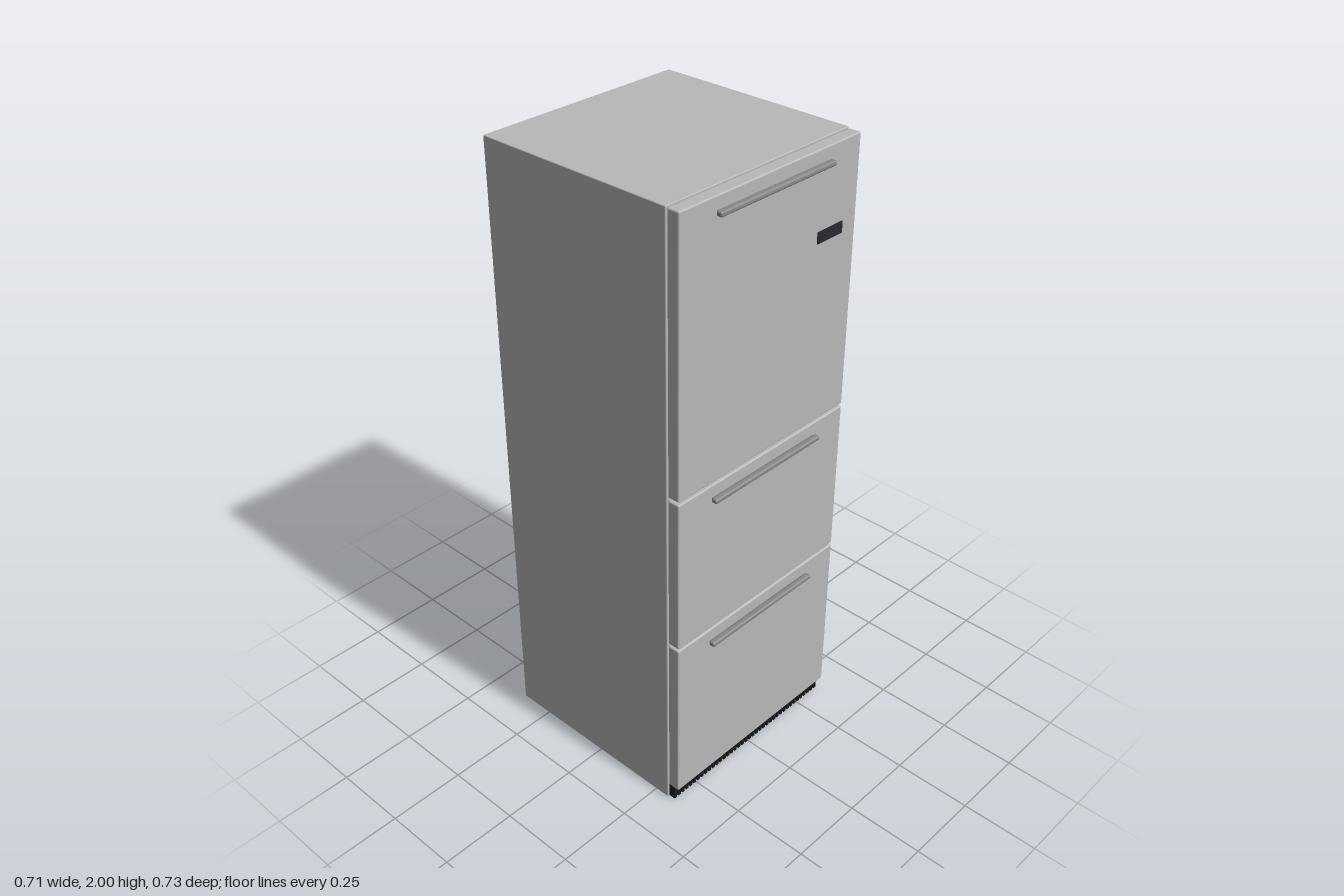
import * as THREE from 'three';
import { RoundedBoxGeometry } from 'three/addons/geometries/RoundedBoxGeometry.js';

const material = (name, color) => {
  const m = new THREE.MeshStandardMaterial({ color });
  m.name = name;
  return m;
};

export function createModel() {
  const model = new THREE.Group();
  model.name = 'refrigerator';
  const steel = material('brushed steel', 0xb8b8b8);
  const handleSteel = material('handle steel', 0x88888a);
  const black = material('kick plate black', 0x1d1d21);
  const glass = material('display black', 0x2a2a2e);

  // Box given by its limits on each axis, with optional rounded edges
  const block = (parent, name, mat, [x0, x1], [y0, y1], [z0, z1], radius = 0) => {
    const size = [x1 - x0, y1 - y0, z1 - z0];
    const geometry = radius
      ? new RoundedBoxGeometry(...size, 3, radius)
      : new THREE.BoxGeometry(...size);
    const mesh = new THREE.Mesh(geometry, mat);
    mesh.name = name;
    mesh.position.set((x0 + x1) / 2, (y0 + y1) / 2, (z0 + z1) / 2);
    parent.add(mesh);
    return mesh;
  };

  // Cabinet
  block(model, 'cabinet', steel, [-0.357, 0.357], [0, 2], [-0.367, 0.3], 0.003);

  // Door and two drawers, each with a long handle near its top edge
  const fronts = [
    ['lowerDrawer', 0.054, 0.621, 0.577],
    ['middleDrawer', 0.629, 1.139, 1.095],
    ['upperDoor', 1.148, 1.997, 1.953],
  ];
  for (const [name, bottom, top, handleY] of fronts) {
    const group = new THREE.Group();
    group.name = name;
    block(group, name + 'Panel', steel, [-0.355, 0.355], [bottom, top], [0.302, 0.343], 0.005);
    block(group, name + 'HandleStem', handleSteel, [-0.22, 0.22], [handleY - 0.004, handleY + 0.004], [0.342, 0.356]);
    block(group, name + 'HandleBar', handleSteel, [-0.227, 0.227], [handleY - 0.008, handleY + 0.008], [0.346, 0.366], 0.006);
    model.add(group);
  }

  // Display on the upper door
  block(model, 'display', glass, [0.188, 0.294], [1.725, 1.76], [0.342, 0.346]);

  // Ribbed kick plate
  const kickPlate = new THREE.Group();
  kickPlate.name = 'kickPlate';
  block(kickPlate, 'kickPlateBase', black, [-0.35, 0.35], [0.002, 0.052], [0.3, 0.317]);
  const ribs = 40;
  for (let i = 0; i < ribs; i++) {
    const x = -0.345 + (0.69 * i) / (ribs - 1);
    block(kickPlate, 'kickPlateRib', black, [x - 0.005, x + 0.005], [0.002, 0.052], [0.316, 0.323]);
  }
  model.add(kickPlate);

  return model;
}
